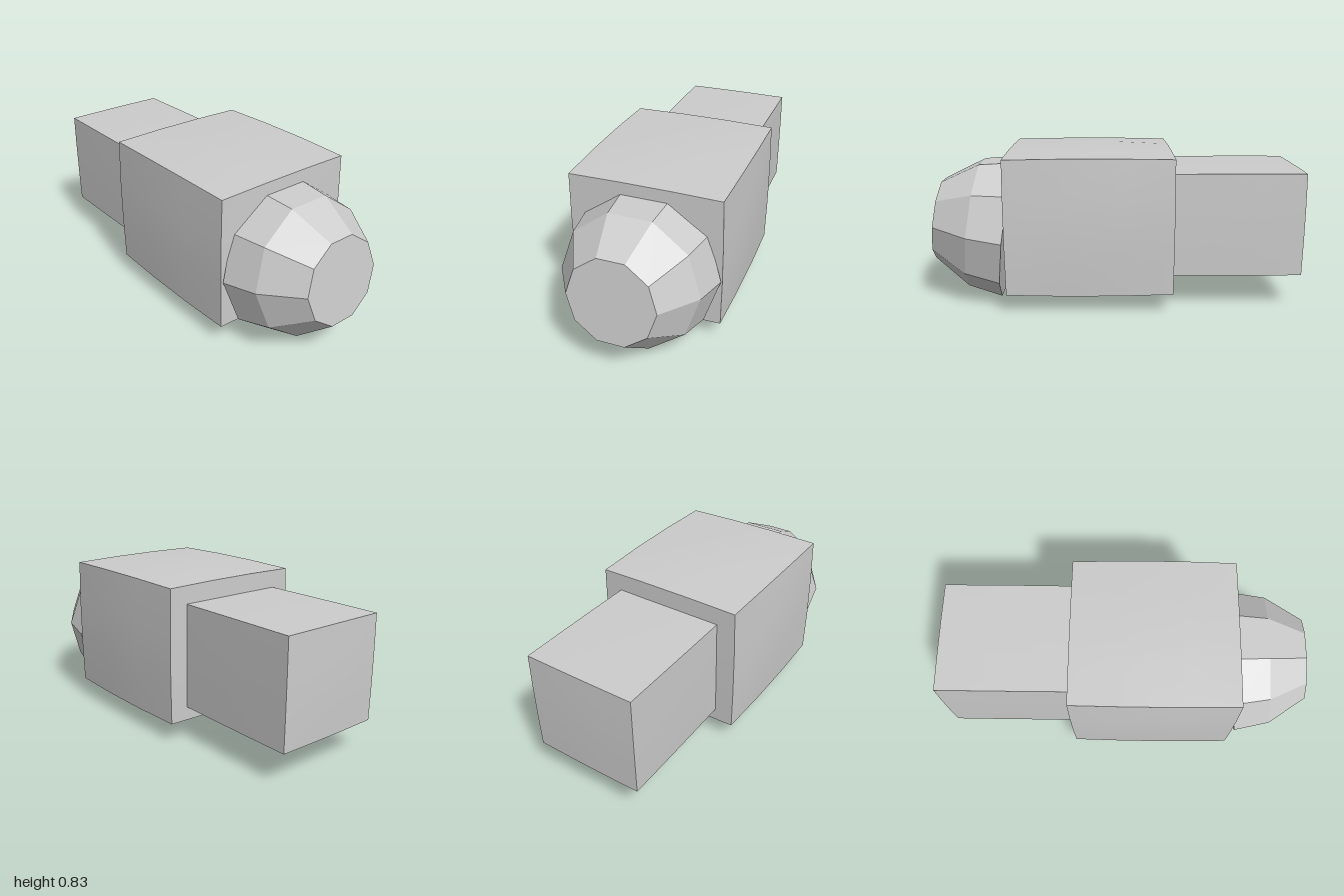
import * as THREE from 'three';

const material = new THREE.MeshStandardMaterial({ color: 0xcccccc });
const facetMaterial = new THREE.MeshStandardMaterial({ color: 0xcccccc, flatShading: true });

// Box whose faces swell gently outwards; edges stay sharp, faces shade smoothly
function bulgedBox(name, half, center, amount) {
  const geo = new THREE.BoxGeometry(2, 2, 2, 3, 3, 3);
  const pos = geo.attributes.position;
  for (let i = 0; i < pos.count; i++) {
    const p = [pos.getX(i), pos.getY(i), pos.getZ(i)];
    const fall = p.map(v => 1 - v * v);
    const q = p.map((v, k) => {
      const a = fall[(k + 1) % 3], b = fall[(k + 2) % 3];
      return v * (half[k] + amount[k] * (0.3 * (a + b) + 0.55 * a * b));
    });
    pos.setXYZ(i, ...q);
  }
  geo.computeVertexNormals();
  const mesh = new THREE.Mesh(geo, material);
  mesh.name = name;
  mesh.position.set(...center);
  return mesh;
}

export function createModel() {
  const group = new THREE.Group();
  group.name = 'model';

  // Main block and the narrower block behind it
  group.add(bulgedBox('body', [0.397, 0.355, 0.435], [0, 0.461, 0.134], [0.019, 0.019, 0.007]));
  group.add(bulgedBox('rearBlock', [0.298, 0.274, 0.371], [0, 0.45, -0.621], [0.004, 0.003, 0.008]));

  // Ten-sided domed nose, tipped slightly upwards
  const profile = [[0, 0], [0.4, 0], [0.362, 0.19], [0.228, 0.392], [0, 0.392]]
    .map(([r, h]) => new THREE.Vector2(r, h));
  const geo = new THREE.LatheGeometry(profile, 10, Math.PI / 10);
  geo.rotateX(Math.PI / 2);
  const nose = new THREE.Mesh(geo, facetMaterial);
  nose.name = 'nose';
  nose.position.set(0, 0.379, 0.585);
  nose.rotation.x = -THREE.MathUtils.degToRad(7);
  group.add(nose);

  return group;
}
